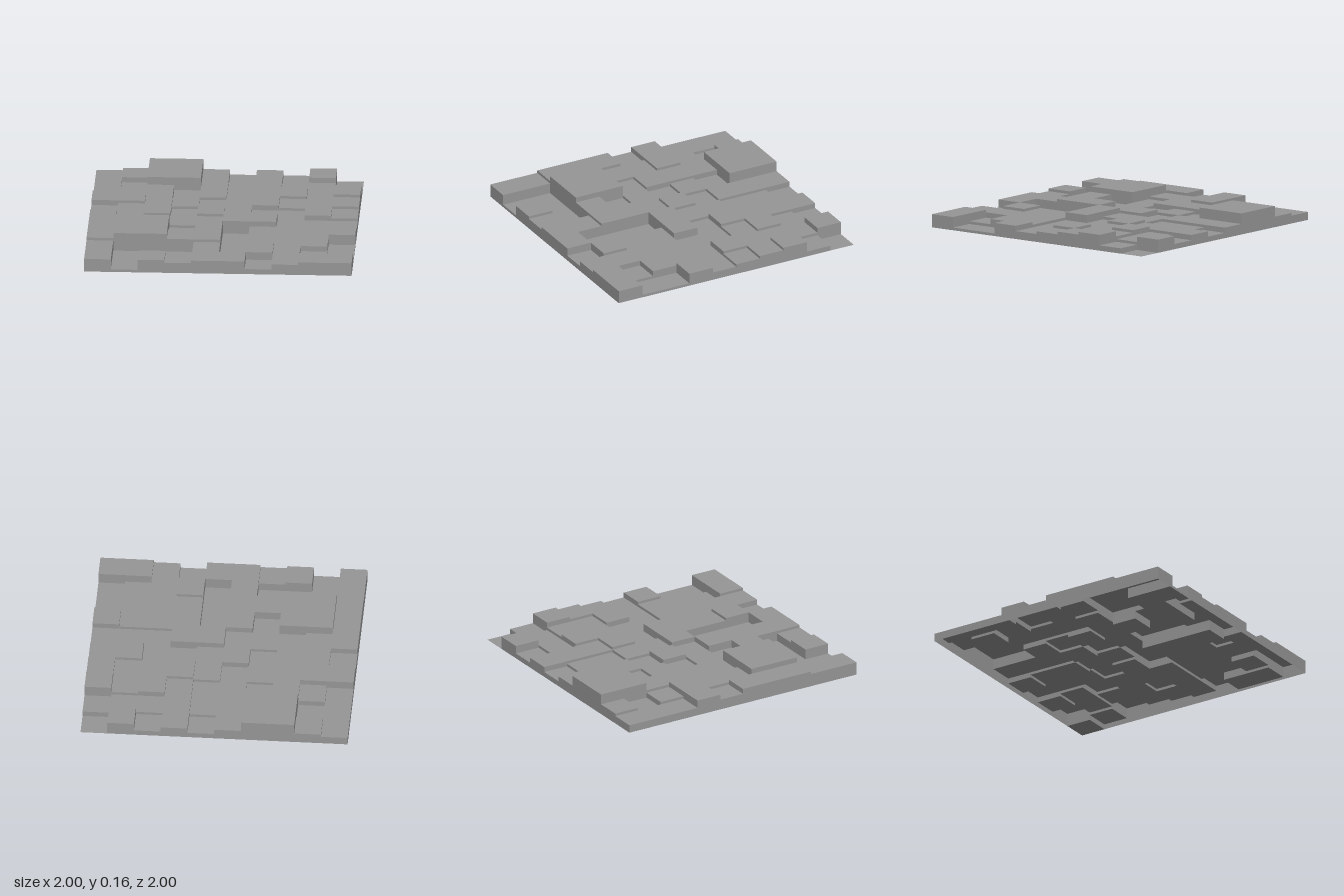
import * as THREE from 'three';

// Cell heights in steps of 0.02: rows run back to front, columns run -x to +x
const ROWS = [
  [3, 4, 8, 8, 4, 2, 4, 2, 5, 0],
  [3, 2, 8, 8, 4, 3, 4, 3, 3, 2],
  [3, 4, 5, 3, 4, 3, 4, 5, 4, 6],
  [6, 6, 5, 4, 3, 4, 5, 4, 4, 5],
  [4, 5, 5, 3, 5, 4, 3, 3, 5, 4],
  [6, 5, 4, 4, 4, 6, 6, 3, 3, 3],
  [6, 8, 8, 3, 6, 1, 4, 4, 4, 5],
  [6, 8, 8, 6, 6, 1, 4, 4, 4, 1],
  [5, 1, 1, 1, 5, 1, 5, 4, 2, 1],
  [5, 1, 5, 4, 5, 5, 2, 4, 5, 5],
];
const N = 10, CELL = 0.2, STEP = 0.02;

const heightAt = (c, r) => (ROWS[r]?.[c] ?? 0) * STEP;
const at = (k) => -1 + k * CELL;

// Collects flat quads, corners counter-clockwise from outside
function quadMesh(name, quads, material) {
  const pos = [];
  for (const [a, b, c, d] of quads) pos.push(...a, ...b, ...c, ...a, ...c, ...d);
  const geometry = new THREE.BufferGeometry();
  geometry.setAttribute('position', new THREE.Float32BufferAttribute(pos, 3));
  geometry.computeVertexNormals();
  const mesh = new THREE.Mesh(geometry, material);
  mesh.name = name;
  return mesh;
}

export function createModel() {
  const group = new THREE.Group();
  group.name = 'steppedTerrain';
  const material = new THREE.MeshStandardMaterial({
    color: 0x969696, flatShading: true, side: THREE.DoubleSide,
  });

  // Level top of every cell
  const tops = [];
  for (let r = 0; r < N; r++) for (let c = 0; c < N; c++) {
    const y = heightAt(c, r), x = at(c), z = at(r), X = at(c + 1), Z = at(r + 1);
    tops.push([[x, y, Z], [X, y, Z], [X, y, z], [x, y, z]]);
  }

  // Upright steps wherever neighbours differ, and round the border; underside stays open
  const walls = [];
  const addWall = (p, q, before, after) => {
    if (before === after) return;
    const lo = Math.min(before, after), hi = Math.max(before, after);
    const [a, b] = before > after ? [p, q] : [q, p];
    walls.push([[a[0], lo, a[1]], [b[0], lo, b[1]], [b[0], hi, b[1]], [a[0], hi, a[1]]]);
  };
  for (let k = 0; k <= N; k++) for (let m = 0; m < N; m++) {
    addWall([at(k), at(m + 1)], [at(k), at(m)], heightAt(k - 1, m), heightAt(k, m));
    addWall([at(m), at(k)], [at(m + 1), at(k)], heightAt(m, k - 1), heightAt(m, k));
  }

  group.add(quadMesh('cellTops', tops, material), quadMesh('stepWalls', walls, material));
  return group;
}
